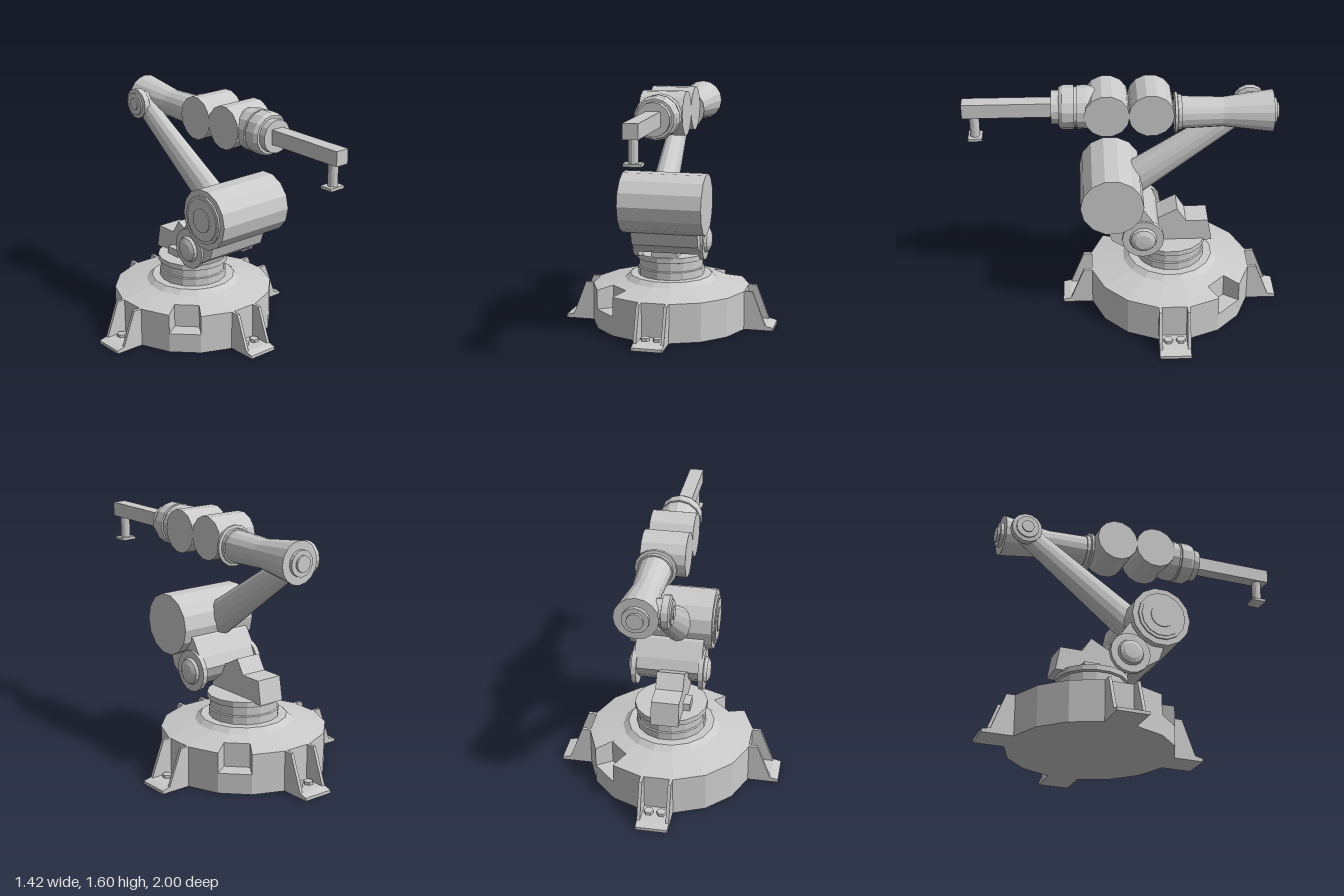
import * as THREE from 'three';

const BASE_Z = -0.29;

export function createModel() {
  const root = new THREE.Group();
  root.name = 'robotArm';
  const mat = new THREE.MeshStandardMaterial({ color: 0xcccccc, flatShading: true });
  const matDouble = new THREE.MeshStandardMaterial({ color: 0xcccccc, flatShading: true, side: THREE.DoubleSide });

  const add = (name, geo, parent = root, material = mat) => {
    const m = new THREE.Mesh(geo, material);
    m.name = name;
    parent.add(m);
    return m;
  };
  // turned part: profile of [radius, position along axis], ascending along the axis
  const turned = (profile, sides, axis = 'y', half = false) => {
    const g = new THREE.LatheGeometry(profile.map(p => new THREE.Vector2(p[0], p[1])), sides, half ? Math.PI / sides : 0);
    if (axis === 'x') g.rotateZ(-Math.PI / 2);
    if (axis === 'z') g.rotateX(Math.PI / 2);
    return g;
  };
  const drum = (r, a, b) => [[0, a], [r, a], [r, b], [0, b]];
  const extrude = (pts, depth) => new THREE.ExtrudeGeometry(
    new THREE.Shape(pts.map(p => new THREE.Vector2(p[0], p[1]))), { depth, bevelEnabled: false });
  // side profile of [z, y], extruded from x0 to x1
  const slab = (pts, x0, x1) => extrude(pts, x1 - x0).rotateY(-Math.PI / 2).translate(x1, 0, 0);
  const box = (x0, x1, y0, y1, z0, z1) => new THREE.BoxGeometry(x1 - x0, y1 - y0, z1 - z0)
    .translate((x0 + x1) / 2, (y0 + y1) / 2, (z0 + z1) / 2);

  // base: sixteen sectors, two of them with a pocket cut into the rim
  const base = new THREE.Group();
  base.name = 'base';
  base.position.z = BASE_Z;
  root.add(base);
  add('baseBody', baseGeometry(), base, matDouble);

  // four bolted feet
  for (let k = 0; k < 4; k++) {
    const foot = new THREE.Group();
    foot.name = 'foot';
    foot.rotation.y = k * Math.PI / 2;
    base.add(foot);
    add('footPlate', extrude([[0.45, 0], [0.71, 0], [0.71, 0.02], [0.66, 0.032], [0.45, 0.032]], 0.2).translate(0, 0, -0.1), foot);
    for (const s of [-1, 1]) {
      add('gusset', extrude([[0.45, 0.02], [0.658, 0.03], [0.57, 0.26], [0.45, 0.26]], 0.02)
        .translate(0, 0, s * 0.09 - 0.01), foot);
      add('bolt', turned(drum(0.03, 0.03, 0.052), 6).translate(0.575, 0, s * 0.04), foot);
    }
  }

  // turntable
  add('turntable', turned([[0, 0.33], [0.222, 0.33], [0.222, 0.385], [0.214, 0.39], [0.214, 0.445],
    [0.232, 0.45], [0.232, 0.485], [0, 0.485]], 16, 'y', true), base);

  // motor block and small box behind the shoulder
  add('motorBlock', slab([[-0.557, 0.475], [-0.08, 0.475], [-0.08, 0.6], [-0.225, 0.665], [-0.327, 0.72],
    [-0.385, 0.627], [-0.53, 0.627]], -0.09, 0.085));
  add('connectorBox', box(-0.135, -0.07, 0.475, 0.535, -0.385, -0.28));

  // shoulder body
  add('shoulderBody', slab([[0.13, 0.7], [0.097, 0.606], [-0.01, 0.536], [-0.1, 0.52], [-0.18, 0.59],
    [-0.205, 0.65], [-0.177, 0.72], [-0.107, 0.826], [0, 0.9], [0.12, 0.85]], -0.175, 0.26));

  // domed hubs on both ends of the shoulder
  for (const s of [-1, 1]) {
    const hub = add('shoulderHub', turned([[0, 0.2], [0.133, 0.2], [0.133, 0.232], [0.087, 0.232],
      [0.078, 0.25], [0.05, 0.264], [0, 0.267]], 16, 'x'));
    hub.position.set(0.043, 0.62, -0.1);
    if (s < 0) hub.rotation.y = Math.PI;
  }

  // main drum with stepped cap
  add('mainDrum', turned([[0, -0.246], [0.08, -0.246], [0.08, -0.24], [0.14, -0.24], [0.14, -0.234],
    [0.16, -0.234], [0.16, -0.222], [0.198, -0.222], [0.198, 0.315], [0, 0.315]], 14, 'x'))
    .position.set(0, 0.888, 0.095);

  // upper arm: tapered, oval in section
  const from = new THREE.Vector3(0, 0.88, 0), to = new THREE.Vector3(-0.02, 1.42, -0.77);
  const arm = add('upperArm', new THREE.CylinderGeometry(0.072, 0.115, from.distanceTo(to), 14));
  arm.position.copy(from).lerp(to, 0.5);
  arm.quaternion.setFromUnitVectors(new THREE.Vector3(0, 1, 0), to.clone().sub(from).normalize());
  arm.scale.x = 0.76;

  // elbow pivot
  add('elbowPivot', turned([[0, -0.108], [0.04, -0.108], [0.04, -0.1], [0.075, -0.1], [0.075, -0.09],
    [0.1, -0.085], [0.1, -0.045], [0.075, -0.04], [0.075, 0.08], [0, 0.08]], 14, 'x'))
    .position.set(0, 1.425, -0.77);

  // waisted forearm with rear caps and front flange
  add('forearm', turned([[0, -0.93], [0.05, -0.93], [0.05, -0.915], [0.08, -0.915], [0.08, -0.893],
    [0.132, -0.893], [0.091, -0.59], [0.101, -0.335], [0.11, -0.335], [0.11, -0.312], [0.128, -0.308],
    [0.128, -0.292], [0, -0.285]], 16, 'z')).position.set(0.09, 1.435, 0);

  // two wrist drums
  for (const z of [0.121, -0.149]) {
    add('wristDrum', turned(drum(0.139, -0.085, 0.19), 14, 'x')).position.set(0, 1.467, z);
  }

  // wrist collar
  add('wristCollar', turned([[0, 0.12], [0.1, 0.12], [0.134, 0.24], [0.134, 0.303], [0.124, 0.303],
    [0.124, 0.318], [0.136, 0.318], [0.136, 0.39], [0.122, 0.412], [0.105, 0.412], [0.105, 0.458],
    [0, 0.458]], 14, 'z')).position.set(0.053, 1.465, 0);

  // tool bar with foot pad
  add('toolBar', box(0.01, 0.1, 1.423, 1.515, 0.45, 1.0));
  add('toolFinger', turned(drum(0.031, 1.28, 1.43), 12)).position.set(0.055, 0, 0.93);
  add('toolPad', box(0.002, 0.108, 1.265, 1.283, 0.885, 0.972));

  return root;
}

function baseGeometry() {
  const top = [[0.31, 0.305], [0.275, 0.335], [0, 0.335]];
  const plain = [[0, 0], [0.525, 0], [0.525, 0.26], ...top];
  const pocket = [[0, 0], [0.525, 0], [0.525, 0.13], [0.41, 0.13], [0.41, 0.284], ...top];
  const pocketWall = [[0.41, 0.13], [0.525, 0.13], [0.525, 0.26], [0.41, 0.284]];
  const pos = [];
  const at = ([r, y], a) => [r * Math.cos(a), y, r * Math.sin(a)];
  const quad = (a, b, c, d) => pos.push(...a, ...b, ...c, ...a, ...c, ...d);
  const step = Math.PI / 8;
  for (let i = 0; i < 16; i++) {
    const a0 = (i - 0.5) * step, a1 = (i + 0.5) * step;
    const cut = i === 6 || i === 14;
    const p = cut ? pocket : plain;
    for (let j = 0; j < p.length - 1; j++) {
      quad(at(p[j], a0), at(p[j + 1], a0), at(p[j + 1], a1), at(p[j], a1));
    }
    if (cut) {
      const w0 = pocketWall.map(q => at(q, a0)), w1 = pocketWall.map(q => at(q, a1)).reverse();
      quad(...w0);
      quad(...w1);
    }
  }
  const g = new THREE.BufferGeometry();
  g.setAttribute('position', new THREE.Float32BufferAttribute(pos, 3));
  g.computeVertexNormals();
  return g;
}
